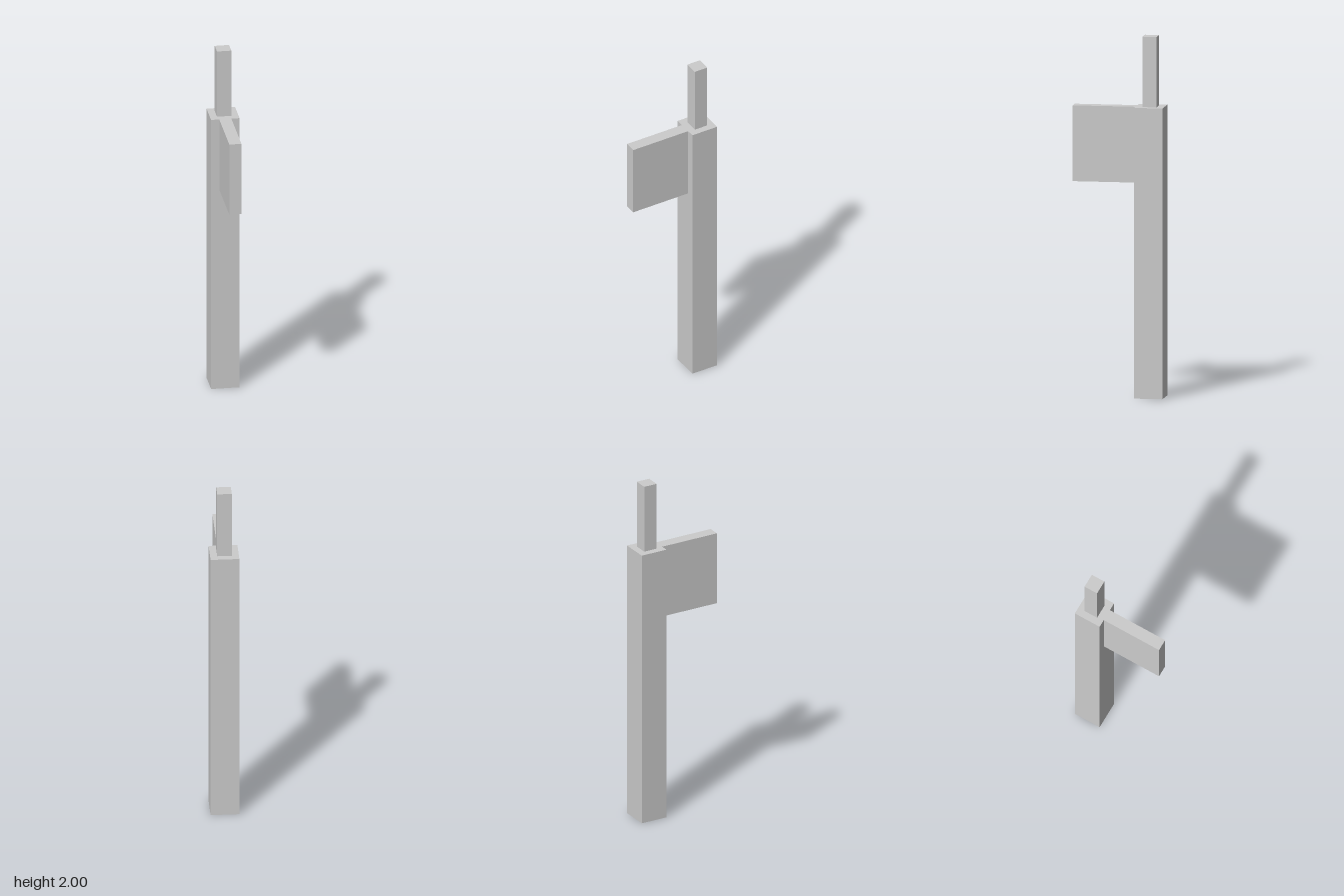
import * as THREE from 'three';

export function createModel() {
  const group = new THREE.Group();
  const material = new THREE.MeshStandardMaterial({ color: 0xcccccc, flatShading: true });

  // Adds a box centred on x = 0, given its width and its y and z limits
  function addBox(name, width, y0, y1, z0, z1) {
    const mesh = new THREE.Mesh(new THREE.BoxGeometry(width, y1 - y0, z1 - z0), material);
    mesh.name = name;
    mesh.position.set(0, (y0 + y1) / 2, (z0 + z1) / 2);
    group.add(mesh);
  }

  // Square post, thinner spike on its top, and flat plate on its front face
  addBox('post', 0.158, 0, 1.61, -0.254, -0.097);
  addBox('topSpike', 0.08, 1.61, 2, -0.215, -0.136);
  addBox('frontPlate', 0.067, 1.19, 1.61, -0.097, 0.253);

  return group;
}
